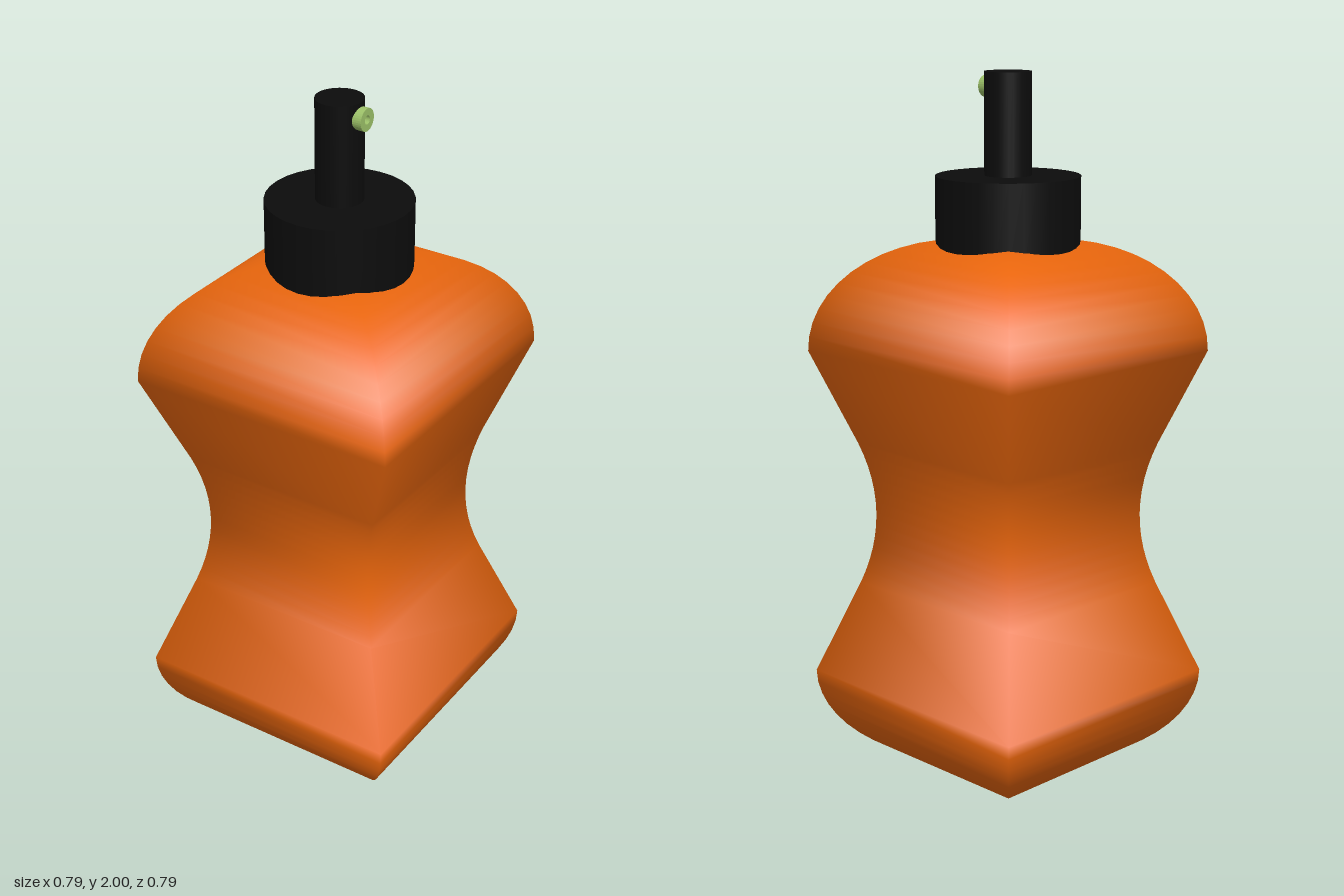
import * as THREE from 'three';

const V = (x, y) => new THREE.Vector2(x, y);

function addMesh(group, name, geometry, color) {
  const mesh = new THREE.Mesh(geometry, new THREE.MeshStandardMaterial({ color }));
  mesh.name = name;
  group.add(mesh);
  return mesh;
}

// Quarter ellipse profile, from angle a0 to a1
function arc(cx, cy, rx, ry, a0, a1, n = 12) {
  return Array.from({ length: n + 1 }, (_, i) => {
    const a = a0 + (a1 - a0) * i / n;
    return V(cx + rx * Math.cos(a), cy + ry * Math.sin(a));
  });
}

export function createModel() {
  const group = new THREE.Group();
  group.name = 'pumpBottle';

  // Square bottle body: half-width profile turned in four segments
  const waist = new THREE.QuadraticBezierCurve(V(0.3, 0.55), V(0.232, 0.757), V(0.3, 0.964));
  const profile = [
    V(0, 0),
    ...arc(0.1, 0.28, 0.295, 0.28, -Math.PI / 2, 0),
    ...waist.getPoints(12),
    ...arc(0.095, 1.23, 0.3, 0.315, 0, Math.PI / 2),
    V(0, 1.545),
  ].map((p) => V(p.x * Math.SQRT2, p.y));
  addMesh(group, 'bottleBody', new THREE.LatheGeometry(profile, 4, Math.PI / 4), 0xe8650c);

  // Screw cap and pump stem
  const collar = addMesh(group, 'collar', new THREE.CylinderGeometry(0.2, 0.2, 0.24, 32), 0x0c0c0c);
  collar.position.y = 1.6;
  const stem = addMesh(group, 'stem', new THREE.CylinderGeometry(0.065, 0.065, 0.32, 32), 0x0c0c0c);
  stem.position.y = 1.84;

  // Nozzle ring on the left of the stem, with an open bore
  const ring = new THREE.Shape().absarc(0, 0, 0.031, 0, Math.PI * 2);
  ring.holes.push(new THREE.Path().absarc(0, 0, 0.012, 0, Math.PI * 2, true));
  const nozzleGeometry = new THREE.ExtrudeGeometry(ring, { depth: 0.03, bevelEnabled: false, curveSegments: 16 });
  const nozzle = addMesh(group, 'nozzle', nozzleGeometry, 0x9cc168);
  nozzle.rotation.y = Math.PI / 2;
  nozzle.position.set(0.054, 1.957, 0);

  return group;
}
